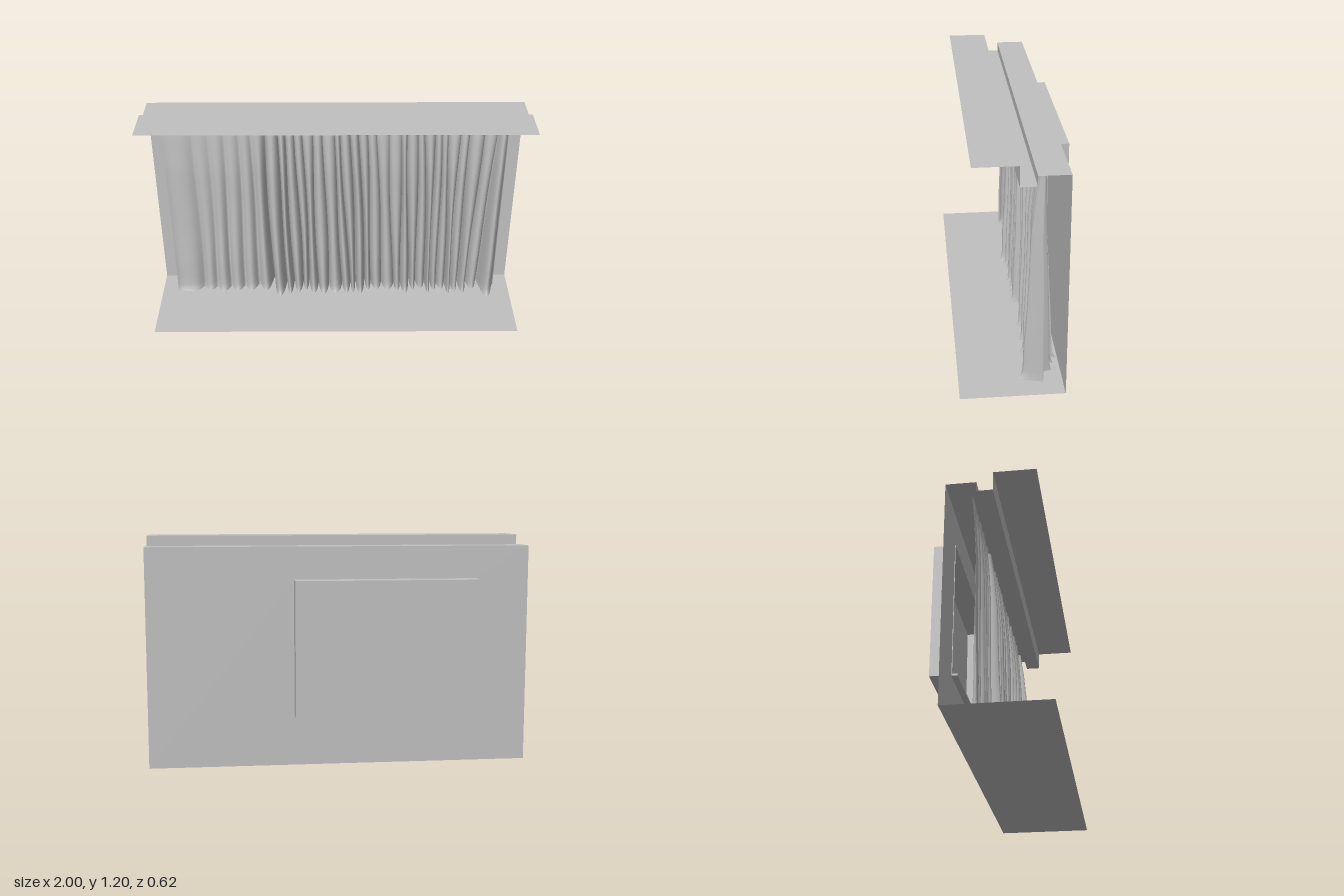
import * as THREE from 'three';

const grey = new THREE.MeshStandardMaterial({ color: 0xc0c0c0, side: THREE.DoubleSide });
grey.name = 'plain grey';

// Crease positions along the curtain at its hem and at its heading
const HEM = [-0.91, -0.76, -0.68, -0.6, -0.52, -0.44, -0.36, -0.28, -0.24, -0.19, -0.15, -0.1, -0.04, 0.04, 0.08, 0.12,
  0.17, 0.21, 0.27, 0.33, 0.38, 0.42, 0.47, 0.52, 0.55, 0.59, 0.63, 0.66, 0.7, 0.76, 0.81, 0.915];
const HEAD = [-0.915, -0.76, -0.68, -0.6, -0.52, -0.46, -0.38, -0.32, -0.28, -0.22, -0.18, -0.13, -0.07, -0.02, 0.02, 0.07,
  0.12, 0.16, 0.21, 0.28, 0.34, 0.38, 0.43, 0.47, 0.52, 0.56, 0.6, 0.66, 0.72, 0.79, 0.87, 0.915];

// Side outline of the curtain: height, front z, back z
const OUTLINE = [
  [0.01, 0.022, -0.192], [0.03, 0.002, -0.18], [0.07, -0.005, -0.173], [0.2, -0.008, -0.168], [0.4, -0.022, -0.157],
  [0.6, -0.03, -0.146], [0.8, -0.036, -0.132], [1.0, -0.056, -0.12], [1.1, -0.072, -0.113], [1.145, -0.077, -0.1],
];

function outlineAt(y) {
  let i = 0;
  while (i < OUTLINE.length - 2 && y > OUTLINE[i + 1][0]) i++;
  const [a, b] = [OUTLINE[i], OUTLINE[i + 1]];
  const t = THREE.MathUtils.clamp((y - a[0]) / (b[0] - a[0]), 0, 1);
  return [THREE.MathUtils.lerp(a[1], b[1], t), THREE.MathUtils.lerp(a[2], b[2], t)];
}

// Repeatable value from 0 to 1
function hash(n) {
  const s = Math.sin(n * 127.1 + 3.7) * 43758.5453;
  return s - Math.floor(s);
}

function curtain() {
  const folds = HEM.length - 1;
  const perFold = 14, rows = 32;
  const { lerp } = THREE.MathUtils;

  // Depth of each crease and each fold crest, 0 = back, 1 = front
  const creases = HEM.map((_, k) => (k < 6 ? 0.42 + 0.12 * hash(k) : 0.02 + 0.3 * hash(k)));
  creases[0] = 0.75;
  creases[folds] = 0.43;
  const crests = HEM.map((_, k) => (k < 5 ? 0.62 + 0.12 * hash(k + 50) : 0.6 + 0.28 * hash(k + 50)));
  crests[0] = 0.72;
  crests[6] = 0.95;
  crests[folds - 1] = 1;

  const geo = new THREE.PlaneGeometry(1, 1, folds * perFold, rows);
  const pos = geo.attributes.position;
  for (let i = 0; i < pos.count; i++) {
    const u = (pos.getX(i) + 0.5) * folds;
    const v = pos.getY(i) + 0.5;
    const k = Math.min(folds - 1, Math.floor(u + 1e-4));
    const s = u - k;
    const y = 0.01 + 1.135 * Math.pow(v, 1.4);
    const t = (y - 0.01) / 1.135;

    // Creases lean between hem and heading and wander a little
    const line = (j) => lerp(HEM[j], HEAD[j], t)
      + (j > 0 && j < folds ? 0.006 * Math.sin(5 * t + 6 * hash(j + 90)) : 0);
    const x0 = line(k), w = line(k + 1) - x0;
    const bulge = k > 5 && k < folds - 1 ? 0.17 : 0.06;
    const x = x0 + w * (s - bulge * Math.sin(2 * Math.PI * s));

    const crest = Math.sin(Math.PI * s) ** 2;
    const depth = lerp(lerp(creases[k], creases[k + 1], s), crests[k], crest);
    const [front, back] = outlineAt(y);
    pos.setXYZ(i, x, y, lerp(back, front, depth));
  }
  geo.computeVertexNormals();
  return geo;
}

// Thin sheet across the full width between two points of the z-y section
function sheet(z1, y1, z2, y2) {
  const geo = new THREE.PlaneGeometry(2, Math.hypot(z2 - z1, y2 - y1));
  geo.rotateX(Math.atan2(z2 - z1, y2 - y1));
  return geo.translate(0, (y1 + y2) / 2, (z1 + z2) / 2);
}

export function createModel() {
  const model = new THREE.Group();
  model.name = 'curtainedWindow';
  const add = (name, geo) => {
    const mesh = new THREE.Mesh(geo, grey);
    mesh.name = name;
    model.add(mesh);
    return mesh;
  };

  // Floor and stepped ceiling with the track recess
  add('floor', sheet(0.31, 0, -0.2, 0));
  add('recessTop', sheet(-0.05, 1.15, -0.2, 1.15));
  add('recessFront', sheet(-0.05, 1.1, -0.05, 1.15));
  add('pelmetUnderside', sheet(0.03, 1.1, -0.05, 1.1));
  add('pelmetFront', sheet(0.03, 1.1, 0.03, 1.2));
  add('ceiling', sheet(0.24, 1.2, 0.03, 1.2));

  // Back wall with the window opening
  const [l, r, b, t] = [-0.725, 0.24, 0.27, 0.98];
  const wall = new THREE.Shape([[-1, 0], [1, 0], [1, 1.15], [-1, 1.15]].map((p) => new THREE.Vector2(...p)));
  wall.holes.push(new THREE.Path([[l, b], [l, t], [r, t], [r, b]].map((p) => new THREE.Vector2(...p))));
  add('backWall', new THREE.ShapeGeometry(wall).translate(0, 0, -0.2));

  // Window alcove, open toward the room
  const alcove = new THREE.BoxGeometry(r - l, t - b, 0.11);
  const index = [...alcove.index.array];
  index.splice(24, 6);
  alcove.setIndex(index);
  alcove.clearGroups();
  add('windowAlcove', alcove).position.set((l + r) / 2, (b + t) / 2, -0.252);

  // Window sill
  add('windowSill', new THREE.BoxGeometry(r - l + 0.04, 0.01, 0.03)).position.set((l + r) / 2, 0.262, -0.181);

  add('curtain', curtain());
  return model;
}
